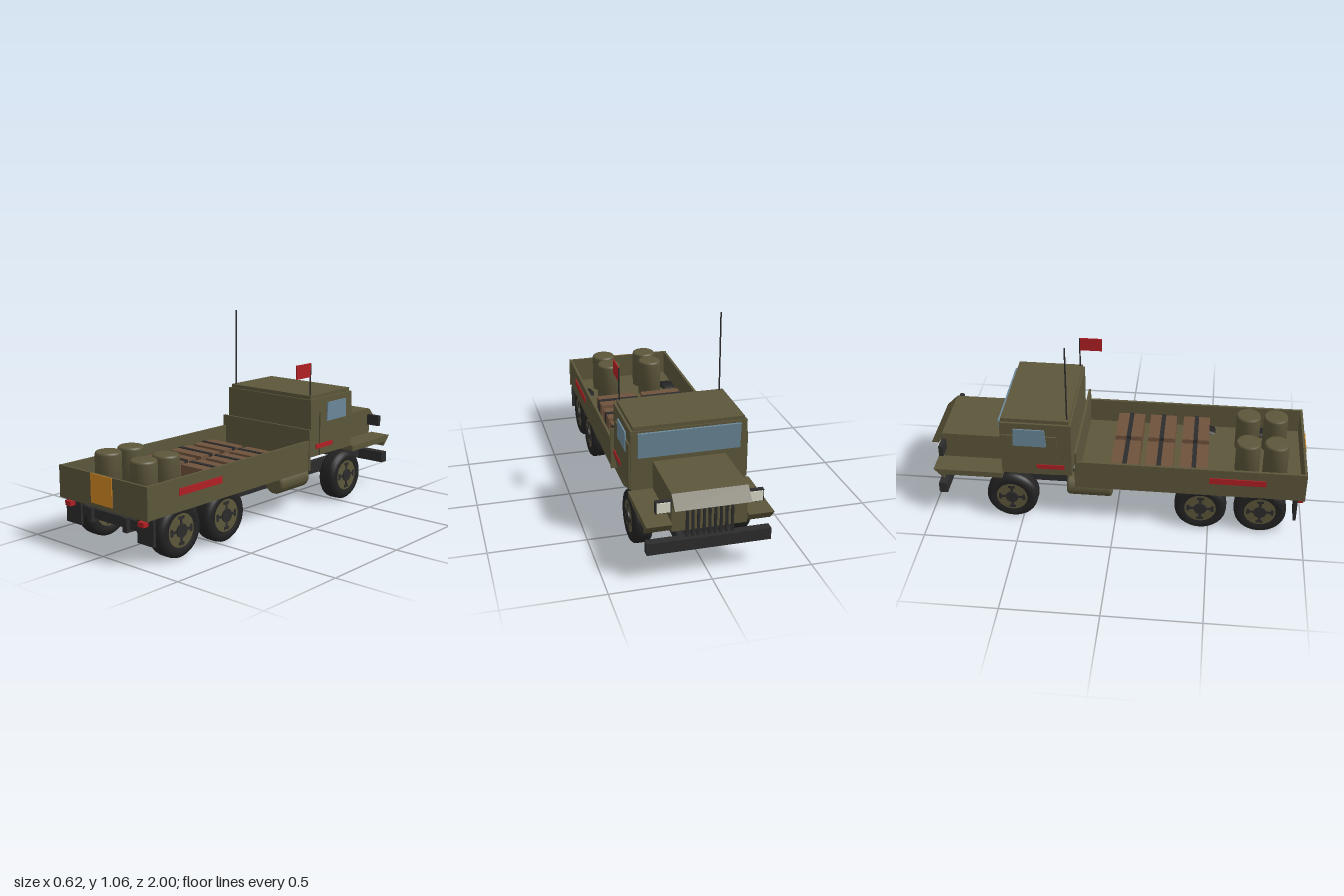
import * as THREE from 'three';

const mat = (name, color) => {
  const m = new THREE.MeshStandardMaterial({ color });
  m.name = name;
  return m;
};

export function createModel() {
  const truck = new THREE.Group();
  truck.name = 'cargoTruck';
  const olive = mat('olive paint', 0x5c563a);
  const tyre = mat('tyre rubber', 0x222222);
  const steel = mat('dark steel', 0x2c2c2d);
  const glass = mat('window glass', 0x6a8799);
  const red = mat('red paint', 0xb02024);
  const orange = mat('orange paint', 0xd08622);
  const wood = mat('crate wood', 0x6e523c);
  const lamp = mat('lamp lens', 0xd8d8c8);

  const add = (name, geo, m, parent = truck) => {
    const mesh = new THREE.Mesh(geo, m);
    mesh.name = name;
    parent.add(mesh);
    return mesh;
  };
  // Box given by its limits on each axis
  const box = (name, m, x0, x1, y0, y1, z0, z1, parent) => {
    const mesh = add(name, new THREE.BoxGeometry(x1 - x0, y1 - y0, z1 - z0), m, parent);
    mesh.position.set((x0 + x1) / 2, (y0 + y1) / 2, (z0 + z1) / 2);
    return mesh;
  };
  // The same box on both sides
  const pair = (name, m, x0, x1, ...rest) => {
    box(name, m, x0, x1, ...rest);
    box(name, m, -x1, -x0, ...rest);
  };
  // Side profile of [z, y] points extruded from x0 to x1
  const profile = (name, m, pts, x0, x1) => {
    const shape = new THREE.Shape(pts.map(([z, y]) => new THREE.Vector2(z, y)));
    const geo = new THREE.ExtrudeGeometry(shape, { depth: x1 - x0, bevelEnabled: false });
    geo.rotateY(-Math.PI / 2).translate(x1, 0, 0);
    return add(name, geo, m);
  };
  const lathe = (pts, segments) =>
    new THREE.LatheGeometry(pts.map(([r, y]) => new THREE.Vector2(r, y)), segments);

  // Chassis
  pair('frameRail', steel, 0.11, 0.14, 0.14, 0.21, -0.85, 0.97);
  for (const z of [-0.83, -0.3, 0.15, 0.61])
    box('crossMember', steel, -0.12, 0.12, 0.155, 0.195, z - 0.02, z + 0.02);
  box('rearCrossMember', steel, -0.2, 0.2, 0.155, 0.205, 0.92, 0.95);
  box('frontBumper', steel, -0.305, 0.305, 0.145, 0.205, -0.95, -0.905);
  pair('bumperBracket', steel, 0.11, 0.14, 0.155, 0.195, -0.91, -0.84);

  // Wheels and axles
  const tyreGeo = lathe([[0.08, -0.045], [0.105, -0.052], [0.125, -0.046], [0.136, -0.034], [0.138, -0.02],
    [0.138, 0.02], [0.136, 0.034], [0.125, 0.046], [0.105, 0.052], [0.08, 0.045]], 32).rotateZ(-Math.PI / 2);
  const rimGeo = new THREE.CylinderGeometry(0.084, 0.084, 0.092, 28).rotateZ(Math.PI / 2);
  const hubGeo = new THREE.CylinderGeometry(0.034, 0.034, 0.108, 16).rotateZ(Math.PI / 2);
  const slotGeo = new THREE.BoxGeometry(0.098, 0.014, 0.036);
  const spokeGeo = new THREE.BoxGeometry(0.097, 0.03, 0.014);
  for (const z of [-0.555, 0.455, 0.77]) {
    const axle = add('axle', new THREE.CylinderGeometry(0.018, 0.018, 0.44, 12).rotateZ(Math.PI / 2), steel);
    axle.position.set(0, 0.142, z);
    for (const side of [-1, 1]) {
      const wheel = new THREE.Group();
      wheel.name = 'wheel';
      wheel.position.set(side * 0.253, 0.14, z);
      add('tyre', tyreGeo, tyre, wheel);
      add('rim', rimGeo, olive, wheel);
      add('hub', hubGeo, steel, wheel);
      for (let i = 0; i < 4; i++) {
        const arm = new THREE.Group();
        arm.name = 'rimSlot';
        arm.rotation.x = (i * Math.PI) / 2;
        add('slot', slotGeo, steel, arm).position.y = 0.064;
        add('slotStem', spokeGeo, steel, arm).position.y = 0.046;
        wheel.add(arm);
      }
      truck.add(wheel);
    }
  }

  // Fuel tanks
  const tankGeo = lathe([[0, -0.122], [0.045, -0.122], [0.056, -0.117], [0.06, -0.107],
    [0.06, 0.107], [0.056, 0.117], [0.045, 0.122], [0, 0.122]], 28).rotateX(Math.PI / 2);
  for (const side of [-1, 1])
    add('fuelTank', tankGeo, olive).position.set(side * 0.205, 0.185, -0.142);

  // Cargo bed
  box('bedFloor', olive, -0.305, 0.305, 0.236, 0.262, -0.205, 0.995);
  pair('bedSide', olive, 0.292, 0.306, 0.24, 0.4, -0.2, 0.99);
  box('tailgate', olive, -0.31, 0.31, 0.236, 0.4, 0.983, 0.996);
  box('headboard', olive, -0.31, 0.31, 0.236, 0.46, -0.21, -0.197);
  box('tailgatePlate', orange, -0.075, 0.075, 0.255, 0.4, 0.995, 1.0);
  pair('bedStripe', red, 0.304, 0.311, 0.315, 0.35, 0.495, 0.79);

  // Mudflaps and tail lights
  pair('mudflap', steel, 0.2, 0.308, 0.105, 0.236, 0.945, 0.96);
  pair('tailLight', red, 0.238, 0.278, 0.2, 0.224, 0.96, 0.992);

  // Crates with straps
  for (const z of [0.045, 0.225, 0.41])
    for (const x of [-0.13, 0.13]) {
      box('crate', wood, x - 0.112, x + 0.112, 0.262, 0.355, z - 0.073, z + 0.073);
      box('crateStrap', steel, x - 0.115, x + 0.115, 0.262, 0.359, z - 0.012, z + 0.012);
    }

  // Drums
  const drumGeo = lathe([[0, 0], [0.066, 0], [0.066, 0.195], [0.064, 0.203], [0.058, 0.208], [0, 0.208]], 28);
  for (const z of [0.692, 0.84])
    for (const x of [-0.125, 0.125])
      add('drum', drumGeo, olive).position.set(x, 0.262, z);

  // Cab
  box('cabBody', olive, -0.295, 0.295, 0.302, 0.616, -0.598, -0.227);
  box('cabRoof', olive, -0.282, 0.282, 0.616, 0.636, -0.592, -0.237);
  pair('door', olive, 0.295, 0.303, 0.305, 0.545, -0.588, -0.3);
  pair('cabStripe', red, 0.301, 0.307, 0.345, 0.37, -0.41, -0.263);
  const sideGlass = [[-0.355, 0.485], [-0.532, 0.485], [-0.525, 0.587], [-0.363, 0.587]].reverse();
  profile('sideWindow', glass, sideGlass, 0.3, 0.308);
  profile('sideWindow', glass, sideGlass, -0.308, -0.3);
  profile('windscreen', glass,
    [[-0.596, 0.472], [-0.596, 0.605], [-0.612, 0.605], [-0.601, 0.472]], -0.26, 0.26);

  // Hood with sloping nose, and front fenders
  profile('hood', olive, [[-0.598, 0.25], [-0.598, 0.448], [-0.94, 0.448], [-1.0, 0.387],
    [-0.94, 0.387], [-0.94, 0.25]], -0.185, 0.185);
  const fender = [[-0.598, 0.27], [-0.598, 0.302], [-0.968, 0.302], [-0.915, 0.245], [-0.915, 0.27]];
  profile('frontFender', olive, fender, 0.185, 0.31);
  profile('frontFender', olive, fender, -0.31, -0.185);

  // Grille bars
  for (let i = -4; i <= 4; i++) {
    const x = i * 0.0275;
    box('grilleBar', steel, x - 0.006, x + 0.006, 0.217, 0.375, -0.95, -0.936);
  }

  // Headlights
  pair('headlightHousing', steel, 0.185, 0.262, 0.355, 0.415, -0.944, -0.92);
  pair('headlightLens', lamp, 0.192, 0.256, 0.36, 0.41, -0.95, -0.943);

  // Antenna, flag pole and flag
  const pole = (name, x, y0, y1) =>
    add(name, new THREE.CylinderGeometry(0.004, 0.004, y1 - y0, 8), steel).position.set(x, (y0 + y1) / 2, -0.25);
  pole('antenna', -0.26, 0.63, 1.058);
  pole('flagPole', 0.27, 0.63, 0.81);
  box('flag', red, 0.267, 0.273, 0.737, 0.812, -0.25, -0.128);

  return truck;
}
